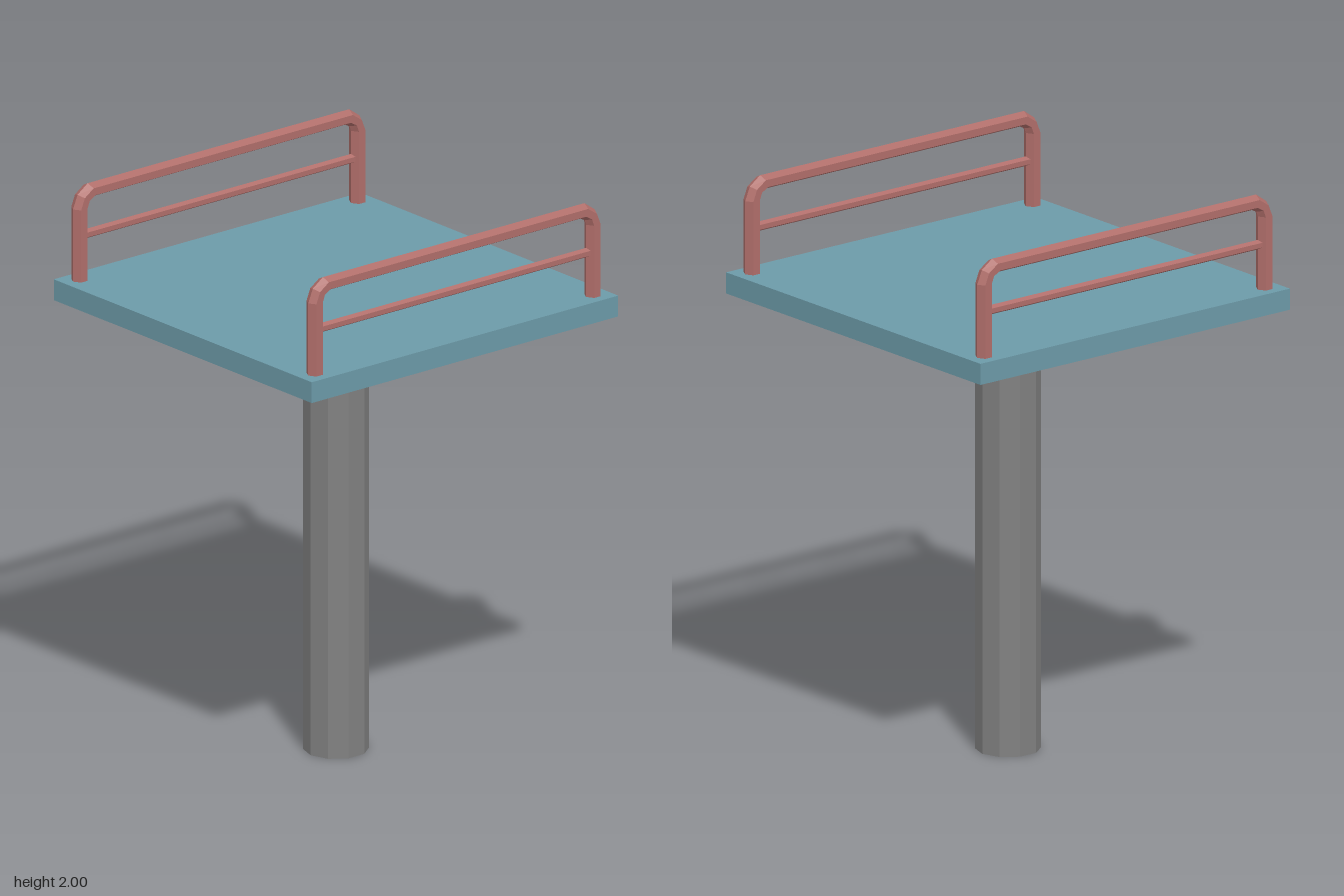
import * as THREE from 'three';

const mat = (color) => new THREE.MeshStandardMaterial({ color, flatShading: true });

// Hexagonal bar swept along an arch, given by its outer and inner outline points
function archGeometry(rings, halfDepth) {
  // hexagon: [fraction from outer to inner edge, depth]
  const hex = [[0, 0], [0.25, 1], [0.75, 1], [1, 0], [0.75, -1], [0.25, -1]];
  const pos = [], idx = [];
  for (const [ox, oy, ix, iy] of rings)
    for (const [f, d] of hex) pos.push(ox + (ix - ox) * f, oy + (iy - oy) * f, d * halfDepth);
  for (let r = 0; r < rings.length - 1; r++)
    for (let k = 0; k < 6; k++) {
      const a = r * 6 + k, b = r * 6 + (k + 1) % 6;
      idx.push(a, b, b + 6, a, b + 6, a + 6);
    }
  // end caps
  const last = (rings.length - 1) * 6;
  for (let k = 1; k < 5; k++) idx.push(0, k + 1, k, last, last + k, last + k + 1);
  const g = new THREE.BufferGeometry();
  g.setAttribute('position', new THREE.Float32BufferAttribute(pos, 3));
  g.setIndex(idx);
  const flat = g.toNonIndexed();
  flat.computeVertexNormals();
  return flat;
}

export function createModel() {
  const model = new THREE.Group();
  model.name = 'platformOnPole';
  const grey = mat(0x808080), teal = mat(0x6c9aa8), red = mat(0xb06e6a);

  const add = (parent, name, geometry, material, x, y, z) => {
    const mesh = new THREE.Mesh(geometry, material);
    mesh.name = name;
    mesh.position.set(x, y, z);
    parent.add(mesh);
    return mesh;
  };

  // Ten-sided pole with corners on the x axis
  const pole = new THREE.CylinderGeometry(0.113, 0.113, 1.59, 10);
  pole.rotateY(Math.PI / 2);
  add(model, 'pole', pole, grey, 0, 0.795, 0);

  // Square deck
  add(model, 'deck', new THREE.BoxGeometry(1.36, 0.075, 1.36), teal, 0, 1.6225, 0);

  // Railing arch: left half, then mirrored
  const half = [
    [-0.645, 1.65, -0.588, 1.65],
    [-0.645, 1.92, -0.588, 1.92],
    [-0.625, 1.968, -0.582, 1.938],
    [-0.58, 2.0, -0.562, 1.948],
  ];
  const rings = [...half, ...half.slice().reverse().map(([a, b, c, d]) => [-a, b, -c, d])];
  const arch = archGeometry(rings, 0.026);

  // Thin hexagonal middle bar
  const bar = new THREE.CylinderGeometry(0.017, 0.017, 1.2, 6);
  bar.rotateZ(Math.PI / 2);
  bar.rotateX(Math.PI / 2);

  for (const [name, z] of [['frontRailing', 0.62], ['backRailing', -0.62]]) {
    const railing = new THREE.Group();
    railing.name = name;
    railing.position.z = z;
    add(railing, 'railArch', arch, red, 0, 0, 0);
    add(railing, 'middleBar', bar, red, 0, 1.82, 0);
    model.add(railing);
  }
  return model;
}
